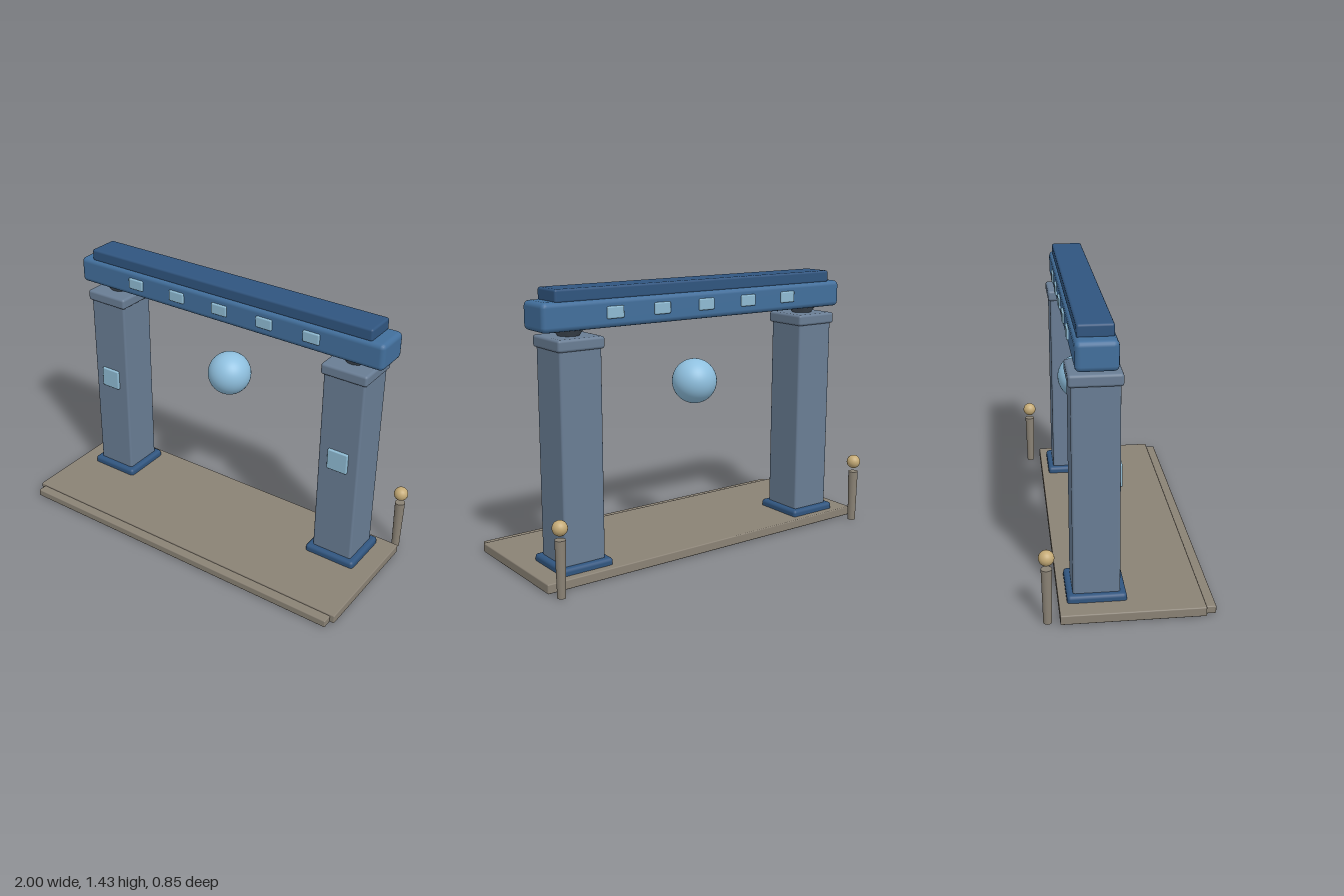
import * as THREE from 'three';
import { RoundedBoxGeometry } from 'three/addons/geometries/RoundedBoxGeometry.js';

const mat = (color) => new THREE.MeshStandardMaterial({ color });
const stone = mat(0x8a8275), pillarBlue = mat(0x697d94), darkBlue = mat(0x30557f);
const beamBlue = mat(0x426f9c), glass = mat(0x8fbbd3), orbBlue = mat(0x8fc0df);
const brass = mat(0xc4aa76), neckGrey = mat(0x4a5560), inlayTan = mat(0x9a8a62);

const GATE_Z = -0.145; // depth of the gate's centre plane

export function createModel() {
  const group = new THREE.Group();

  const add = (parent, name, geometry, material, x, y, z) => {
    const mesh = new THREE.Mesh(geometry, material);
    mesh.name = name;
    mesh.position.set(x, y, z);
    parent.add(mesh);
    return mesh;
  };
  // Soft-edged block given by its extents in y and its centre in x and z
  const block = (parent, name, material, w, y0, y1, d, x, z, r) =>
    add(parent, name, new RoundedBoxGeometry(w, y1 - y0, d, 2, r), material, x, (y0 + y1) / 2, z);

  // Floor: slab, front step and the inlay set into the underside
  block(group, 'platform', stone, 2, 0.006, 0.055, 0.7, 0, 0.02, 0.006);
  block(group, 'frontStep', stone, 1.95, 0.004, 0.045, 0.17, 0, 0.335, 0.006);
  add(group, 'undersideInlay', new THREE.BoxGeometry(0.77, 0.03, 0.38), inlayTan, 0, 0.019, 0.02);

  // Pillars and posts, one set per side
  for (const side of [-1, 1]) {
    const pillar = new THREE.Group();
    pillar.name = side > 0 ? 'leftPillar' : 'rightPillar';
    pillar.position.set(side * 0.75, 0, GATE_Z);
    group.add(pillar);
    block(pillar, 'pillarBase', darkBlue, 0.29, 0.004, 0.09, 0.29, 0, 0, 0.018);
    block(pillar, 'pillarShaft', pillarBlue, 0.23, 0.06, 1.15, 0.23, 0, 0, 0.012);
    block(pillar, 'pillarCap', pillarBlue, 0.255, 1.14, 1.2, 0.255, 0, 0, 0.014);
    add(pillar, 'pillarNeck', new THREE.CylinderGeometry(0.085, 0.05, 0.05, 24), neckGrey, 0, 1.22, 0);
    block(pillar, 'pillarPanel', glass, 0.115, 0.615, 0.73, 0.03, 0, 0.115, 0.006);

    const post = new THREE.Group();
    post.name = side > 0 ? 'leftPost' : 'rightPost';
    post.position.set(side * 0.96, 0, -0.388);
    group.add(post);
    add(post, 'postShaft', new THREE.CylinderGeometry(0.027, 0.021, 0.288, 20), stone, 0, 0.146, 0);
    add(post, 'postBall', new THREE.SphereGeometry(0.038, 24, 16), brass, 0, 0.347, 0);
  }

  // Crossbeam with a row of small panels on both faces
  block(group, 'crossbeam', beamBlue, 1.88, 1.23, 1.372, 0.2, 0, GATE_Z, 0.026);
  block(group, 'topBeam', darkBlue, 1.732, 1.365, 1.43, 0.172, 0, GATE_Z, 0.012);
  for (let i = -2; i <= 2; i++) {
    for (const face of [-1, 1]) {
      block(group, 'beamPanel', glass, 0.095, 1.275, 1.335, 0.03, i * 0.274, GATE_Z + face * 0.095, 0.008);
    }
  }

  // Floating orb in the opening
  add(group, 'orb', new THREE.SphereGeometry(0.118, 40, 28), orbBlue, 0, 0.892, GATE_Z);

  return group;
}
